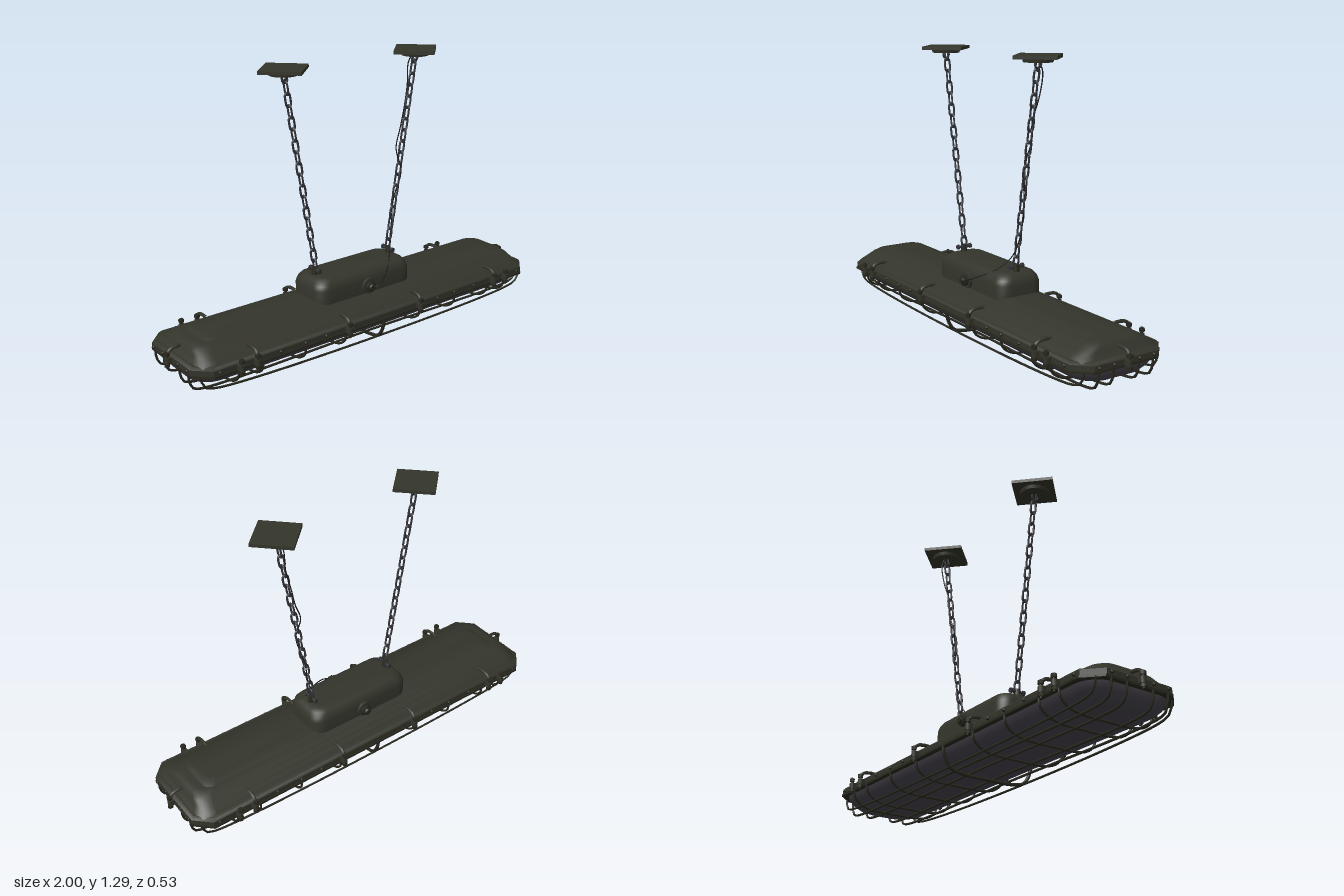
import * as THREE from 'three';
import { toCreasedNormals } from 'three/addons/utils/BufferGeometryUtils.js';

const mat = (name, color) => {
  const m = new THREE.MeshStandardMaterial({ color });
  m.name = name;
  return m;
};

// Skin through stacked rounded rectangles [halfX, halfZ, cornerRadius, y], listed upwards
function loft(sections, segs, crease = 0.6) {
  const pos = [], idx = [], n = 4 * (segs + 1);
  for (const [hx, hz, r, y] of sections) {
    for (let c = 0; c < 4; c++) {
      const sx = c === 0 || c === 3 ? 1 : -1, sz = c < 2 ? 1 : -1;
      for (let k = 0; k <= segs; k++) {
        const a = (c + k / segs) * Math.PI / 2;
        pos.push(sx * (hx - r) + r * Math.cos(a), y, sz * (hz - r) + r * Math.sin(a));
      }
    }
  }
  const rows = sections.length, bottom = rows * n, top = bottom + 1;
  pos.push(0, sections[0][3], 0, 0, sections[rows - 1][3], 0);
  for (let j = 0; j < n; j++) {
    const k = (j + 1) % n;
    for (let i = 0; i < rows - 1; i++) {
      const a = i * n + j, b = i * n + k;
      idx.push(a, a + n, b, b, a + n, b + n);
    }
    idx.push(bottom, j, k, top, (rows - 1) * n + k, (rows - 1) * n + j);
  }
  const g = new THREE.BufferGeometry();
  g.setAttribute('position', new THREE.Float32BufferAttribute(pos, 3));
  g.setIndex(idx);
  return toCreasedNormals(g, crease);
}

const tube = (pts, r, segs = 28, closed = false) => new THREE.TubeGeometry(
  new THREE.CatmullRomCurve3(pts.map(p => new THREE.Vector3(...p)), closed, 'centripetal'), segs, r, 6, closed);

export function createModel() {
  const olive = mat('olive painted metal', 0x33342a);
  const dark = mat('dark cage metal', 0x29291f);
  const steel = mat('chain steel', 0x35353a);
  const glass = mat('smoky glass', 0x46434b);
  const black = mat('black cable', 0x1c1c1c);

  const root = new THREE.Group();
  root.name = 'hangingLamp';
  const add = (parent, name, geo, m, x = 0, y = 0, z = 0) => {
    const mesh = new THREE.Mesh(geo, m);
    mesh.name = name;
    mesh.position.set(x, y, z);
    parent.add(mesh);
    return mesh;
  };

  // Housing: chamfered rim, sloping cover and low ridge
  add(root, 'rim', loft([[0.955, 0.222, 0.07, 0.116], [0.968, 0.232, 0.07, 0.122],
    [0.968, 0.232, 0.07, 0.148], [0.955, 0.222, 0.07, 0.158]], 1), olive);
  add(root, 'cover', loft([[0.95, 0.216, 0.07, 0.15], [0.935, 0.2, 0.07, 0.167], [0.924, 0.178, 0.06, 0.18],
    [0.917, 0.15, 0.06, 0.197], [0.903, 0.125, 0.06, 0.21], [0.88, 0.112, 0.06, 0.215]], 6), olive);
  add(root, 'coverRidge', loft([[0.86, 0.112, 0.04, 0.21], [0.84, 0.09, 0.04, 0.223],
    [0.82, 0.06, 0.04, 0.227]], 6), olive);

  // Glass bowl under the rim
  add(root, 'glassBowl', loft([[0.85, 0.09, 0.07, 0.043], [0.9, 0.135, 0.09, 0.048], [0.925, 0.165, 0.1, 0.06],
    [0.94, 0.195, 0.1, 0.083], [0.945, 0.212, 0.1, 0.108], [0.945, 0.216, 0.1, 0.125]], 8, 1.2), glass);

  // Wire cage: cross hoops, lengthwise bars and a rail around the rim
  const cage = new THREE.Group();
  cage.name = 'cage';
  root.add(cage);
  const hoop = (s, low) => [[0, 0.122, s * 0.233], [0, 0.085, s * 0.228], [0, low + 0.02, s * 0.195],
    [0, low + 0.004, s * 0.14]];
  const hoopPath = low => [...hoop(-1, low), [0, low, 0], ...hoop(1, low).reverse()];
  const hoopGeo = tube(hoopPath(0.034), 0.0055);
  for (const x of [0.22, 0.44, 0.66, 0.78]) for (const s of [-1, 1]) add(cage, 'hoop', hoopGeo, dark, s * x);
  add(cage, 'centreHoop', tube(hoopPath(0.008), 0.008), dark);
  const barEnd = s => [[s * 0.965, 0.122, 0], [s * 0.962, 0.085, 0], [s * 0.945, 0.05, 0], [s * 0.905, 0.037, 0]];
  const barGeo = tube([...barEnd(-1), [0, 0.036, 0], ...barEnd(1).reverse()], 0.0055, 80);
  for (const z of [-0.14, -0.065, 0.065, 0.14]) add(cage, 'lengthwiseBar', barGeo, dark, 0, 0, z);
  for (const s of [-1, 1]) {
    add(cage, 'sideBar', tube([[-0.94, 0.12, s * 0.19], [-0.92, 0.068, s * 0.19], [-0.87, 0.05, s * 0.195],
      [0.87, 0.05, s * 0.195], [0.92, 0.068, s * 0.19], [0.94, 0.12, s * 0.19]], 0.005, 60), dark);
  }
  add(cage, 'cageRail', loft([[0.968, 0.237, 0.07, 0.114], [0.968, 0.237, 0.07, 0.124]], 1), dark);

  // Clamps on the rim; local +z points outward
  const boltGeo = new THREE.CylinderGeometry(0.006, 0.006, 0.075, 10);
  const nutGeo = new THREE.CylinderGeometry(0.013, 0.013, 0.014, 6);
  const lugGeo = new THREE.BoxGeometry(0.026, 0.026, 0.045);
  const padGeo = new THREE.CylinderGeometry(0.013, 0.013, 0.026, 12);
  const armGeo = tube([[0, 0.155, 0.25], [0, 0.178, 0.235], [0, 0.186, 0.205], [0, 0.185, 0.165]], 0.008, 12);
  const clamp = (x, z, turn, withArm) => {
    const g = new THREE.Group();
    g.name = 'clamp';
    g.position.set(x, 0, z);
    g.rotation.y = turn;
    add(g, 'lug', lugGeo, olive, 0, 0.134, 0.225);
    add(g, 'lugEnd', padGeo, olive, 0, 0.134, 0.248);
    add(g, 'bolt', boltGeo, dark, 0, 0.136, 0.25);
    add(g, 'upperNut', nutGeo, dark, 0, 0.162, 0.25);
    add(g, 'lowerNut', nutGeo, dark, 0, 0.112, 0.25);
    if (withArm) add(g, 'arm', armGeo, olive);
    root.add(g);
  };
  for (const turn of [0, Math.PI]) {
    for (const x of [0.21, 0.695]) for (const s of [-1, 1]) clamp(s * x, 0, turn, true);
    for (const s of [-1, 1]) {
      clamp(s * 0.775, 0, turn, false);
    }
  }
  for (const s of [-1, 1]) clamp(s * 0.735, 0, s * Math.PI / 2, true);

  // Small rim screws
  const screwGeo = new THREE.SphereGeometry(0.008, 8, 6);
  for (const s of [-1, 1]) {
    for (const x of [-0.87, -0.57, -0.44, -0.33, 0.33, 0.44, 0.57, 0.87]) add(root, 'rimScrew', screwGeo, dark, x, 0.137, s * 0.234);
    for (const z of [-0.14, -0.065, 0.065, 0.14]) add(root, 'endScrew', screwGeo, dark, s * 0.97, 0.137, z);
  }

  // Junction box with a cable gland front and back
  add(root, 'junctionBox', loft([[0.272, 0.116, 0.06, 0.2], [0.272, 0.116, 0.06, 0.275], [0.266, 0.11, 0.06, 0.297],
    [0.252, 0.096, 0.055, 0.315], [0.232, 0.078, 0.05, 0.324], [0.21, 0.06, 0.04, 0.326]], 8), olive);
  for (const s of [-1, 1]) {
    const g = new THREE.Group();
    g.name = 'cableGland';
    g.position.set(0, 0.25, s * 0.112);
    g.rotation.x = s * Math.PI / 2;
    add(g, 'glandFlange', new THREE.CylinderGeometry(0.036, 0.036, 0.018, 20), olive, 0, 0.008, 0);
    add(g, 'glandNut', new THREE.CylinderGeometry(0.026, 0.026, 0.02, 6), dark, 0, 0.024, 0);
    add(g, 'glandTip', new THREE.CylinderGeometry(0.014, 0.018, 0.012, 12), dark, 0, 0.038, 0);
    root.add(g);
  }

  // Chains with posts below and ceiling plates above
  const linkPts = [];
  for (let i = 0; i < 16; i++) {
    const a = (i + 0.5) / 16 * Math.PI * 2;
    linkPts.push([0.0125 * Math.cos(a), 0.0125 * Math.sin(a) + Math.sign(Math.sin(a)) * 0.0185, 0]);
  }
  const linkGeo = tube(linkPts, 0.0048, 28, true);
  const chainX = y => 0.215 + (y - 0.365) * 0.168;
  for (const s of [-1, 1]) {
    const chain = new THREE.Group();
    chain.name = s > 0 ? 'leftChain' : 'rightChain';
    root.add(chain);
    for (let j = 0; j < 18; j++) {
      const y = 0.365 + j * 0.05235;
      const link = add(chain, 'link', linkGeo, steel, s * chainX(y), y, 0);
      link.rotation.set(0, j % 2 ? 0 : Math.PI / 2, -s * Math.atan(0.168), 'ZYX');
    }
    add(chain, 'post', new THREE.CylinderGeometry(0.012, 0.016, 0.04, 12), dark, s * 0.218, 0.336, 0);
    const pin = add(chain, 'pin', new THREE.CylinderGeometry(0.007, 0.007, 0.075, 10), steel, s * 0.216, 0.346, 0);
    pin.rotation.x = Math.PI / 2;
    for (const e of [-1, 1]) {
      const head = add(chain, 'pinHead', new THREE.CylinderGeometry(0.012, 0.012, 0.01, 8), steel, s * 0.216, 0.346, e * 0.033);
      head.rotation.x = Math.PI / 2;
    }
    const plate = add(root, 'ceilingPlate', new THREE.BoxGeometry(0.185, 0.015, 0.185), olive, s * 0.367, 1.285, 0);
    plate.rotation.y = Math.PI / 4;
    add(root, 'ceilingBoss', new THREE.CylinderGeometry(0.068, 0.064, 0.017, 28), olive, s * 0.367, 1.27, 0);
    add(root, 'ceilingEye', new THREE.TorusGeometry(0.016, 0.005, 6, 16), steel, s * 0.367, 1.252, 0).rotation.y = Math.PI / 2;
  }

  // Supply cable: down along one chain and into the front gland
  add(root, 'supplyCable', tube([[0.36, 1.265, -0.01], [0.355, 1.22, -0.033], [0.345, 1.12, -0.026], [0.312, 1.0, -0.012],
    [0.3, 0.92, -0.02], [0.27, 0.83, -0.012], [0.285, 0.72, 0.008], [0.255, 0.58, -0.01], [0.235, 0.46, 0],
    [0.21, 0.39, 0.02], [0.17, 0.335, 0.065], [0.1, 0.29, 0.125], [0.03, 0.258, 0.16], [0, 0.25, 0.15]], 0.0028, 90), black);

  return root;
}
